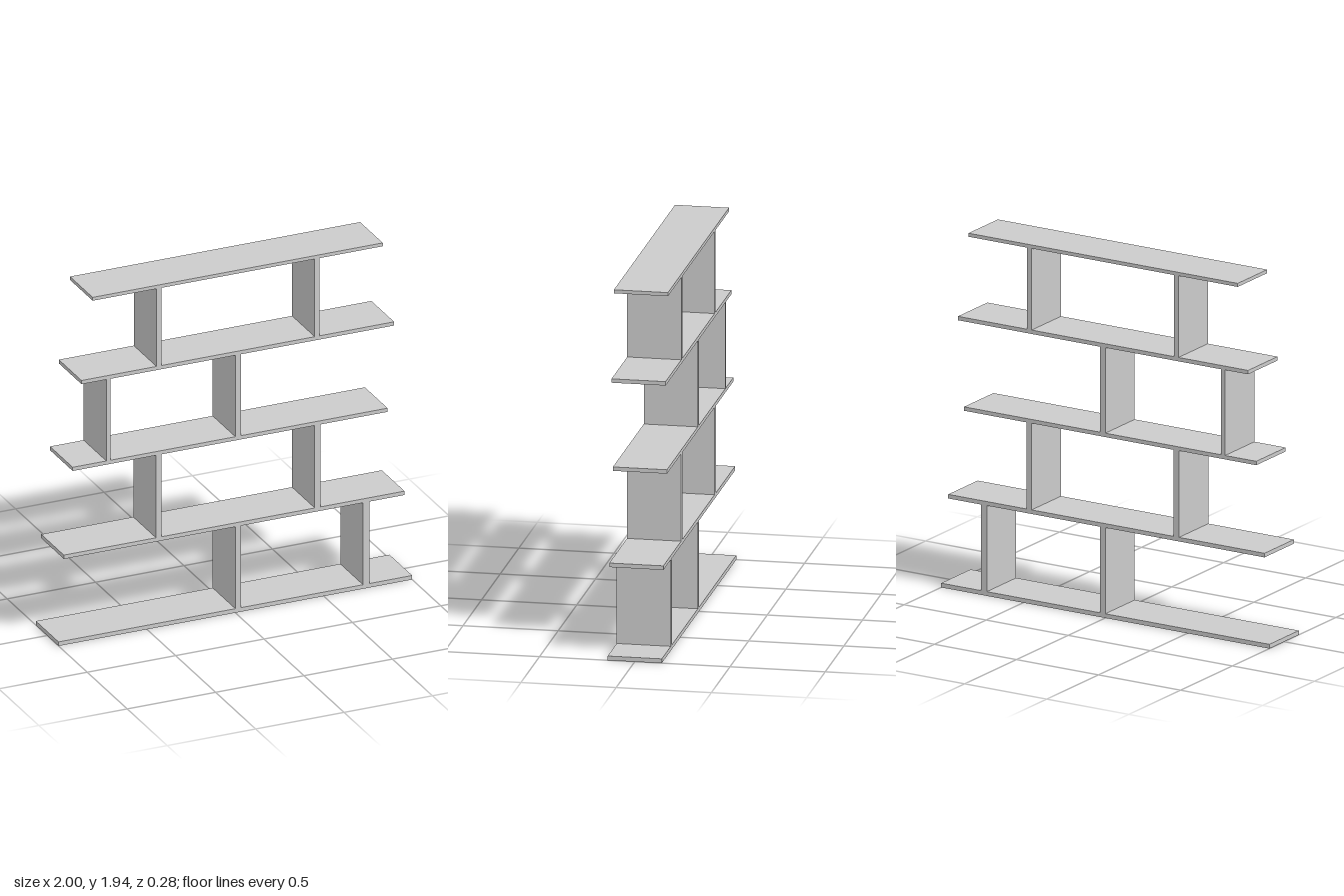
import * as THREE from 'three';

const DEPTH = 0.284;

export function createModel() {
  const group = new THREE.Group();
  group.name = 'bookshelf';
  const material = new THREE.MeshStandardMaterial({ color: 0xcccccc, flatShading: true });

  // Board spanning x0..x1 and y0..y1 over the full depth
  const board = (name, x0, x1, y0, y1) => {
    const mesh = new THREE.Mesh(new THREE.BoxGeometry(x1 - x0, y1 - y0, DEPTH), material);
    mesh.position.set((x0 + x1) / 2, (y0 + y1) / 2, 0);
    mesh.name = name;
    group.add(mesh);
  };

  // Horizontal shelves, bottom to top: left end, right end, underside, top face
  const shelves = [
    [-1, 1, 0, 0.023],
    [-0.97, 0.957, 0.487, 0.509],
    [-0.92, 0.861, 0.976, 0.997],
    [-0.87, 0.898, 1.458, 1.479],
    [-0.807, 0.834, 1.919, 1.938],
  ];
  shelves.forEach((s, i) => board(`shelf${i + 1}`, ...s));

  // Staggered upright dividers between neighbouring shelves: [x0, x1] per row
  const dividers = [
    [[0, 0.032], [0.722, 0.758]],
    [[-0.449, -0.417], [0.449, 0.481]],
    [[-0.73, -0.706], [0, 0.032]],
    [[-0.446, -0.418], [0.449, 0.476]],
  ];
  dividers.forEach((row, i) => row.forEach(([x0, x1], j) =>
    board(`divider${i + 1}${j ? 'Left' : 'Right'}`, x0, x1, shelves[i][3], shelves[i + 1][2])));

  return group;
}
